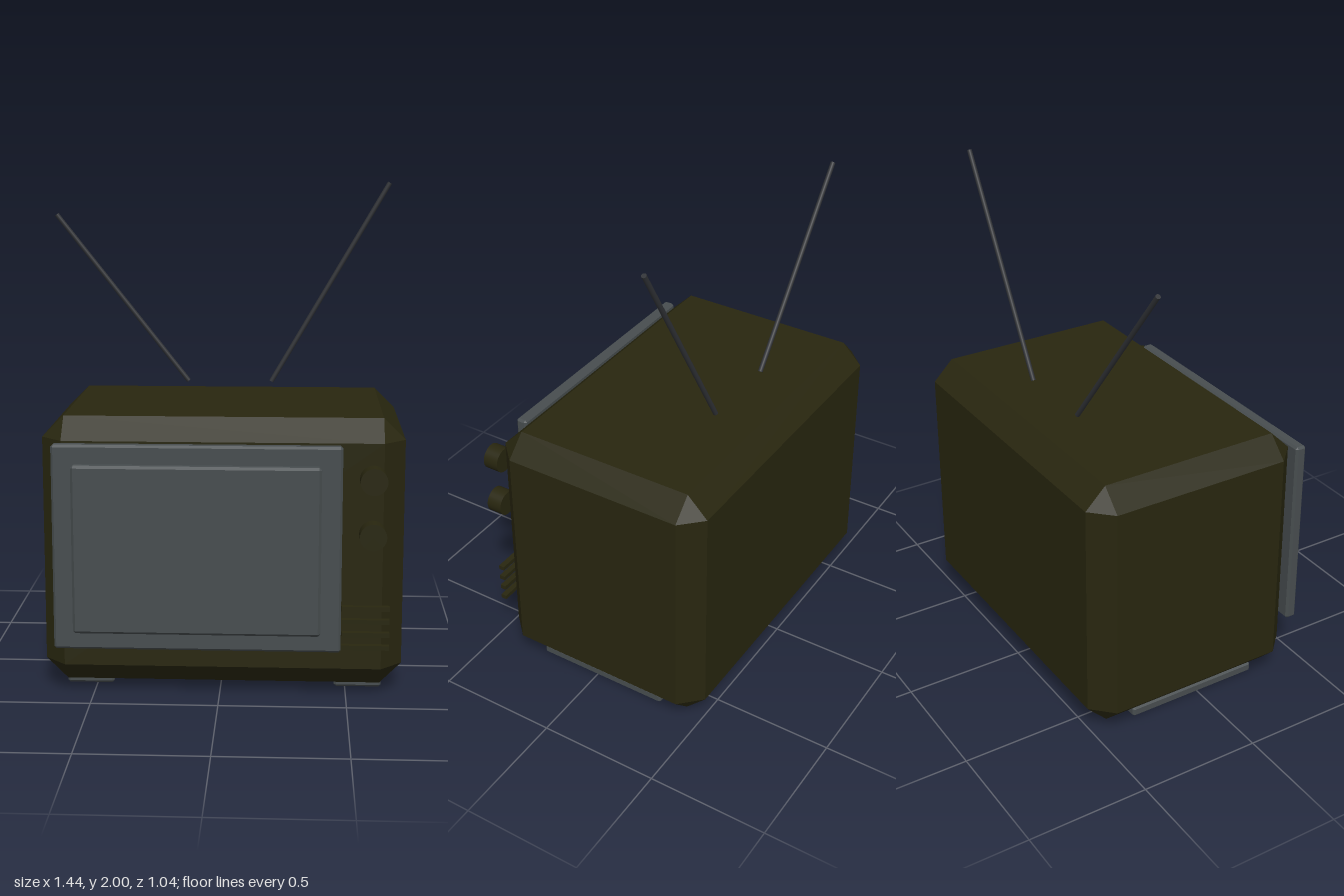
import * as THREE from 'three';
import { ConvexGeometry } from 'three/addons/geometries/ConvexGeometry.js';

const material = (name, color) => {
  const m = new THREE.MeshStandardMaterial({ color });
  m.name = name;
  return m;
};

// Box between two corners with all edges chamfered by c
function chamferBox([x0, y0, z0], [x1, y1, z1], c) {
  const center = new THREE.Vector3(x0 + x1, y0 + y1, z0 + z1).multiplyScalar(0.5);
  const half = new THREE.Vector3(x1 - x0, y1 - y0, z1 - z0).multiplyScalar(0.5);
  const points = [];
  for (const sx of [-1, 1]) for (const sy of [-1, 1]) for (const sz of [-1, 1]) {
    for (const axis of ['x', 'y', 'z']) {
      const p = half.clone().subScalar(c);
      p[axis] = half[axis];
      points.push(p.multiply(new THREE.Vector3(sx, sy, sz)).add(center));
    }
  }
  return new ConvexGeometry(points);
}

export function createModel() {
  const group = new THREE.Group();
  group.name = 'television';
  const olive = material('dark olive casing', 0x28260f);
  const grey = material('slate grey', 0x474d4f);
  const metal = material('dark antenna metal', 0x303236);

  const add = (name, geometry, mat) => {
    const mesh = new THREE.Mesh(geometry, mat);
    mesh.name = name;
    group.add(mesh);
    return mesh;
  };

  // Casing
  add('casing', chamferBox([-0.697, 0.04, -0.52], [0.72, 1.112, 0.405], 0.085), olive);

  // Screen frame and raised screen
  add('screenFrame', chamferBox([-0.642, 0.213, 0.427], [0.475, 1.025, 0.475], 0.009), grey);
  add('screen', chamferBox([-0.562, 0.288, 0.47], [0.395, 0.952, 0.516], 0.01), grey);

  // Control knobs
  for (const y of [0.9, 0.685]) {
    const knob = add('knob', new THREE.CylinderGeometry(0.052, 0.052, 0.065, 32), olive);
    knob.rotation.x = Math.PI / 2;
    knob.position.set(0.592, y, 0.483);
  }

  // Speaker slats
  for (let i = 0; i < 4; i++) {
    const slat = add('speakerSlat', new THREE.BoxGeometry(0.185, 0.018, 0.024), olive);
    slat.position.set(0.57, 0.232 + i * 0.052, 0.455);
  }

  // Feet
  for (const [x0, x1] of [[-0.622, -0.433], [0.456, 0.645]]) {
    add('foot', chamferBox([x0, 0, -0.312], [x1, 0.044, 0.266], 0.009), grey);
  }

  // Antenna rods
  for (const [a, b] of [[[-0.163, 1.16], [-0.717, 1.862]], [[0.189, 1.16], [0.676, 1.995]]]) {
    const start = new THREE.Vector3(...a, -0.285);
    const end = new THREE.Vector3(...b, -0.285);
    const dir = end.clone().sub(start);
    const rod = add('antennaRod', new THREE.CylinderGeometry(0.01, 0.01, dir.length(), 16), metal);
    rod.position.copy(start).lerp(end, 0.5);
    rod.quaternion.setFromUnitVectors(new THREE.Vector3(0, 1, 0), dir.normalize());
  }

  return group;
}
